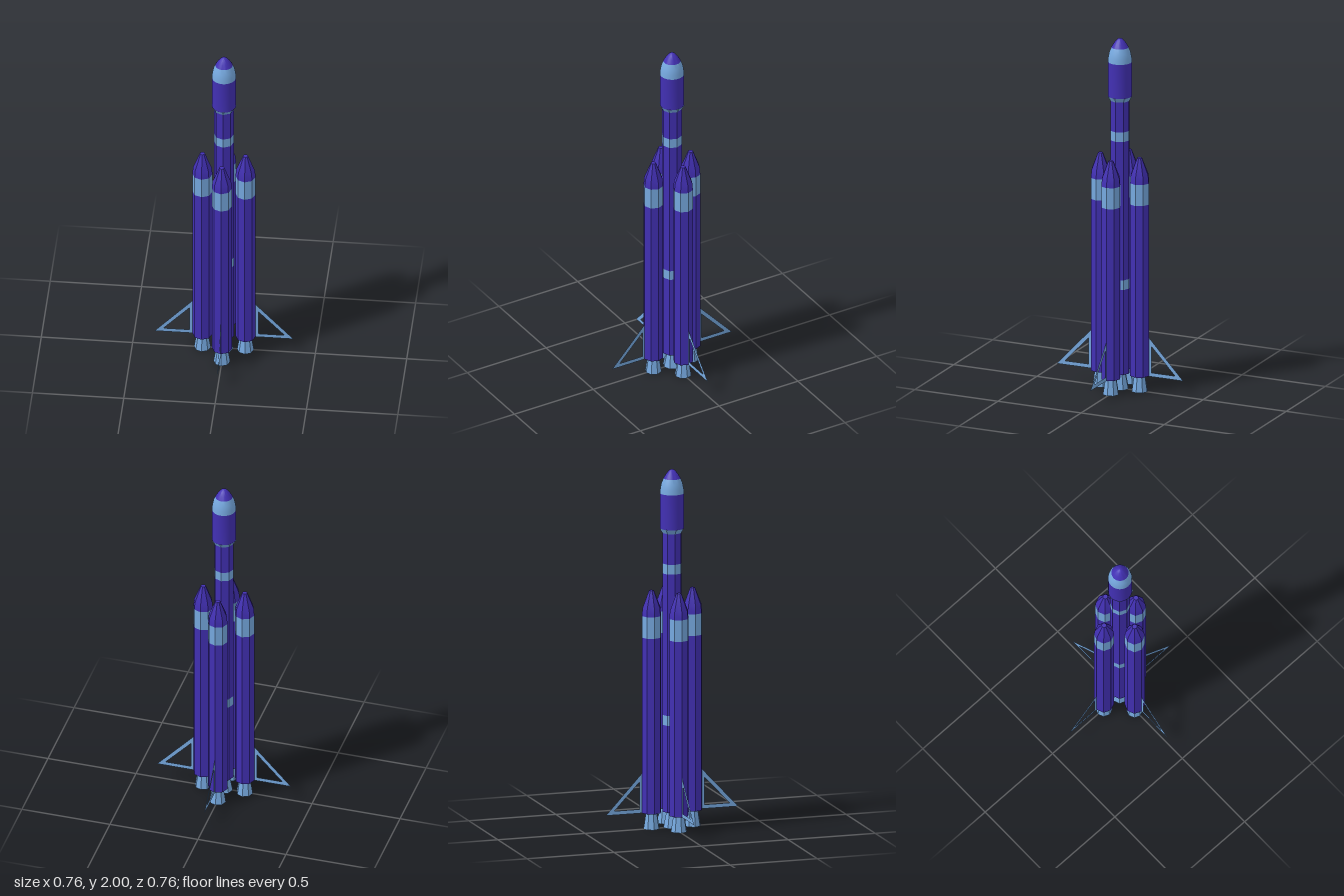
import * as THREE from 'three';
import { toCreasedNormals } from 'three/addons/utils/BufferGeometryUtils.js';

export function createModel() {
  const rocket = new THREE.Group();
  rocket.name = 'rocket';
  const purple = new THREE.MeshStandardMaterial({ color: 0x4230b4 });
  purple.name = 'deep purple';
  const blue = new THREE.MeshStandardMaterial({ color: 0x76a9e0, side: THREE.DoubleSide });
  blue.name = 'light blue';

  // Turned part from [radius, height] pairs, listed bottom to top
  const turned = (parent, name, material, profile, sides = 8) => {
    const points = profile.map(([r, y]) => new THREE.Vector2(r, y));
    const geometry = toCreasedNormals(new THREE.LatheGeometry(points, sides), 0.45);
    const mesh = new THREE.Mesh(geometry, material);
    mesh.name = name;
    parent.add(mesh);
  };

  const R = 0.055;
  const nozzle = (parent, r) =>
    turned(parent, 'engineNozzle', blue, [[0, 0], [r, 0], [0.032, 0.09]]);

  // Core stage with painted bands
  const core = new THREE.Group();
  core.name = 'coreStage';
  rocket.add(core);
  nozzle(core, 0.05);
  turned(core, 'coreLower', purple, [[0, 0.09], [R, 0.09], [R, 0.575]]);
  turned(core, 'coreLowerBand', blue, [[R, 0.575], [R, 0.63]]);
  turned(core, 'coreMiddle', purple, [[R, 0.63], [R, 1.42]]);
  turned(core, 'coreUpperBand', blue, [[R, 1.42], [R, 1.475]]);
  turned(core, 'coreUpper', purple, [[R, 1.475], [R, 1.645]]);
  turned(core, 'collar', blue, [[R, 1.645], [0.07, 1.67], [0, 1.67]]);

  // Smooth payload fairing
  turned(core, 'fairing', purple, [[0.066, 1.67], [0.066, 1.865]], 32);
  turned(core, 'fairingShoulder', blue,
    [[0.066, 1.865], [0.064, 1.89], [0.058, 1.92], [0.047, 1.947]], 32);
  turned(core, 'fairingTip', purple,
    [[0.047, 1.947], [0.035, 1.968], [0.02, 1.988], [0.009, 1.997], [0, 2]], 32);

  // Open triangular leg frame, a flat sheet
  const legShape = new THREE.Shape(
    [[0.17, 0.09], [0.38, 0.09], [0.17, 0.315]].map(([x, y]) => new THREE.Vector2(x, y)));
  legShape.holes.push(new THREE.Path(
    [[0.188, 0.112], [0.188, 0.263], [0.331, 0.112]].map(([x, y]) => new THREE.Vector2(x, y))));
  const legGeometry = new THREE.ShapeGeometry(legShape);

  // Four boosters around the core, each with a leg
  for (let i = 0; i < 4; i++) {
    const arm = new THREE.Group();
    arm.name = 'boosterAndLeg';
    arm.rotation.y = i * Math.PI / 2;
    rocket.add(arm);

    const booster = new THREE.Group();
    booster.name = 'booster';
    booster.position.x = 0.118;
    arm.add(booster);
    nozzle(booster, 0.046);
    turned(booster, 'boosterBody', purple, [[0, 0.09], [R, 0.09], [R, 1.07]]);
    turned(booster, 'boosterBand', blue, [[R, 1.07], [R, 1.19]]);
    turned(booster, 'boosterNose', purple,
      [[R, 1.19], [0.051, 1.235], [0.014, 1.33], [0, 1.33]]);

    const leg = new THREE.Mesh(legGeometry, blue);
    leg.name = 'landingLeg';
    arm.add(leg);
  }
  return rocket;
}
